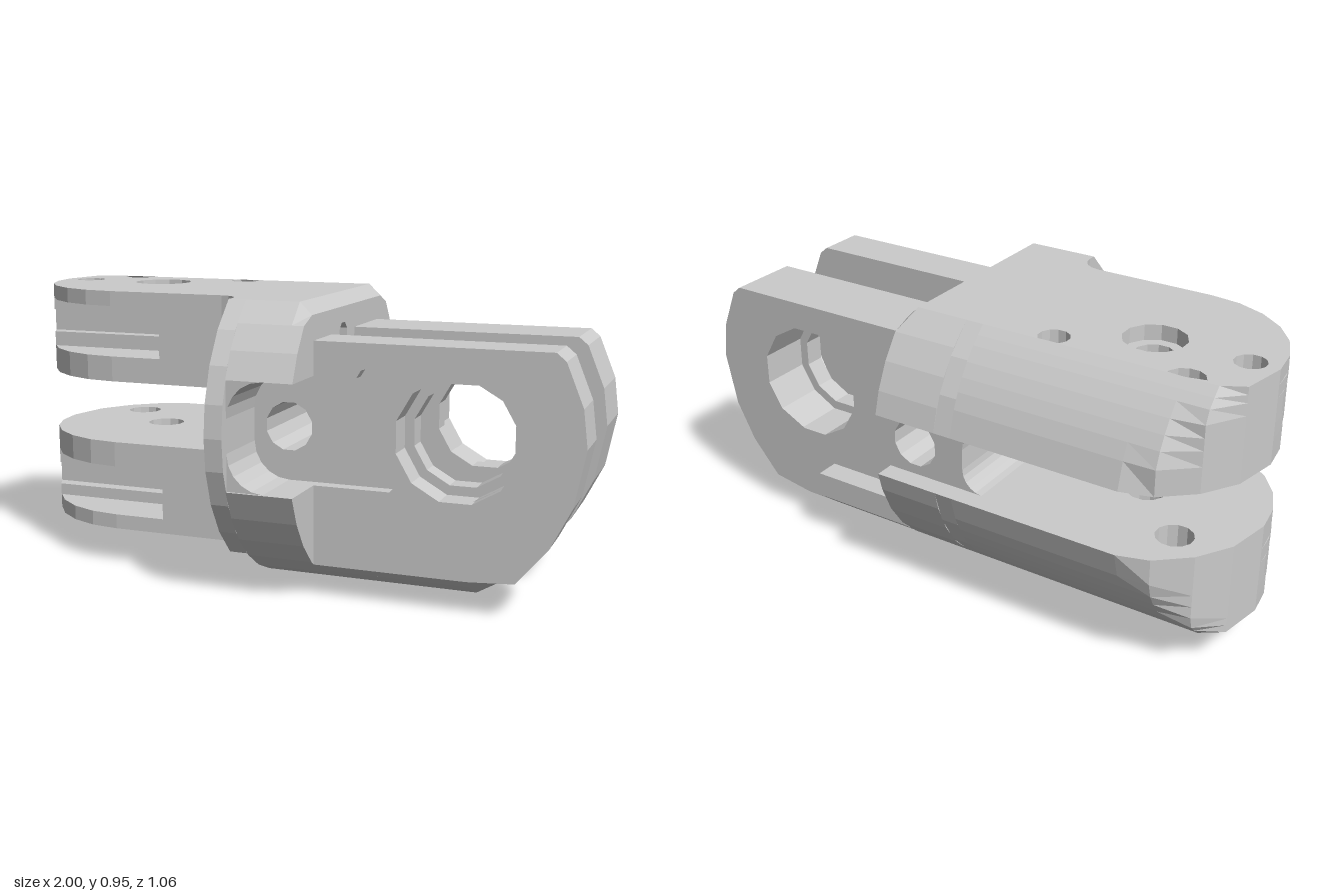
import * as THREE from 'three';

const R = 0.535, CY = 0.535; // round envelope running along x
const half = (d) => Math.sqrt(Math.max(0, R * R - d * d));
const mat = new THREE.MeshStandardMaterial({ color: 0xcccccc, flatShading: true });

function circle(x, y, r, n) {
  const pts = [];
  for (let i = 0; i < n; i++) {
    const t = ((i + 0.5) / n) * Math.PI * 2;
    pts.push(new THREE.Vector2(x + r * Math.cos(t), y + r * Math.sin(t)));
  }
  return new THREE.Path(pts);
}

// Extrudes an outline from a to b along an axis, then applies a vertex rule.
function solid(name, pts, holes, axis, a, b, steps = 1, rule = null) {
  const shape = new THREE.Shape(pts.map(([x, y]) => new THREE.Vector2(x, y)));
  shape.holes = holes.map(([x, y, r, n = 12]) => circle(x, y, r, n));
  const g = new THREE.ExtrudeGeometry(shape, { depth: b - a, steps, bevelEnabled: false });
  g.translate(0, 0, a);
  if (axis === 'y') g.rotateX(-Math.PI / 2); // outline is (x, -z)
  if (axis === 'x') g.rotateY(Math.PI / 2); // outline is (-z, y)
  if (rule) {
    const p = g.attributes.position, v = new THREE.Vector3();
    for (let i = 0; i < p.count; i++) {
      rule(v.fromBufferAttribute(p, i));
      p.setXYZ(i, v.x, v.y, v.z);
    }
  }
  g.computeVertexNormals();
  const m = new THREE.Mesh(g, mat);
  m.name = name;
  return m;
}

const clampZ = (v) => { const h = half(v.y - CY); v.z = Math.max(-h, Math.min(h, v.z)); };
const clampY = (v) => { v.y = Math.max(v.y, CY - half(v.z)); };

// Slice of the round body between two heights, limited at back and front.
function slab(x0, x1, y0, y1, zb, zf, holes = [], rule = null) {
  const t0 = Math.acos((CY - y0) / R), t1 = Math.acos((CY - y1) / R);
  const n = Math.max(1, Math.round((t1 - t0) / 0.2));
  const front = [], back = [];
  for (let i = 0; i <= n; i++) {
    const y = CY - R * Math.cos(t0 + ((t1 - t0) * i) / n), h = half(y - CY);
    front.push([-Math.min(zf, h), y]);
    back.unshift([-Math.max(zb, -h), y]);
  }
  return solid('body', [...front, ...back], holes, 'x', x0, x1, 1, rule);
}

// Concave corner filler; sx and sy point into the open space.
function fillet(x, y, r, sx, sy, z0, z1) {
  const pts = [[x, y]];
  for (let i = 0; i <= 5; i++) {
    const t = (i / 5) * Math.PI / 2;
    pts.push([x + sx * r * (1 - Math.sin(t)), y + sy * r * (1 - Math.cos(t))]);
  }
  return solid('cornerFillet', pts, [], 'z', z0, z1);
}

// Plan of a fork prong as (x, -z); a recessed front edge lies at zFloor.
function prongPlan(zFloor) {
  const pts = [[-0.13, 0.535], [-0.7, 0.535], [-0.8, 0.495], [-0.9, 0.41], [-0.97, 0.3]];
  const arc = (t) => [-0.61 - 0.39 * Math.cos(t), 0.15 - 0.39 * Math.sin(t)];
  if (zFloor === null) {
    for (let i = 0; i <= 6; i++) pts.push(arc((i / 6) * Math.PI / 2));
  } else {
    const end = Math.asin((zFloor + 0.15) / 0.39);
    for (let i = 0; i <= 3; i++) pts.push(arc((i / 3) * end));
    pts.push([-0.46, -zFloor], [-0.43, -zFloor - 0.04], [-0.43, -0.24]);
  }
  for (let i = 0; i <= 4; i++) {
    const t = (i / 4) * Math.PI / 2;
    pts.push([-0.2 + 0.07 * Math.sin(t), -0.31 + 0.07 * Math.cos(t)]);
  }
  return pts;
}

function prong(upper) {
  const g = new THREE.Group();
  g.name = upper ? 'upperProng' : 'lowerProng';
  const add = (name, pts, holes, y0, y1, steps = 1) => {
    const [a, b] = upper ? [y0, y1] : [1.08 - y1, 1.08 - y0];
    g.add(solid(name, pts, holes, 'y', a, b, steps, clampZ));
  };
  const bores = [[-0.61, 0.15, 0.065], [-0.8, 0.34, 0.06]];
  const outer = [[-0.61, 0.15, 0.1], bores[1]];
  if (upper) outer.push([-0.91, 0.15, 0.05], [-0.355, 0.3, 0.05]);
  add('prongInner', prongPlan(null), bores, 0.645, 0.73);
  add('prongRecess', prongPlan(0.06), bores, 0.73, 0.78);
  add('prongRecess', prongPlan(0.06), bores, 0.86, 0.9);
  add('prongOuter', prongPlan(null), outer, 0.9, 0.95, 2);
  // Layer split by the cable passage
  const back = prongPlan(0.01).filter(([x, z]) => z >= -0.0101 && x < -0.14);
  add('prongCore', [[-0.13, 0.535], ...back.slice(0, -1), [-0.13, -0.01]], bores, 0.78, 0.86, 2);
  add('prongFront', [[-0.13, -0.09], [-0.43, -0.09], [-0.43, -0.24], [-0.2, -0.24], [-0.15, -0.26],
    [-0.13, -0.31]], [], 0.78, 0.86);
  const y = upper ? 0.82 : 0.26;
  g.add(solid('cablePassage', [[-0.09, y - 0.04], [-0.01, y - 0.04], [-0.01, y + 0.04], [-0.09, y + 0.04]],
    [[-0.05, y, 0.039, 8]], 'x', -0.43, -0.13));
  // Rounded slot end
  g.add(fillet(-0.13, upper ? 0.645 : 0.435, 0.07, -1, upper ? -1 : 1, -0.46, 0.24));
  return g;
}

// Side outline of a hinge plate
const plateEnd = [[0.5, 0], [0.65, 0.03], [0.8, 0.12], [0.9, 0.24], [0.965, 0.37], [1, 0.55],
  [0.985, 0.67], [0.93, 0.805], [0.9, 0.83], [0.15, 0.83]];
const platePts = [[0.15, 0], ...plateEnd];
const notchedPts = [...platePts, [0.15, 0.72], [0.29, 0.72], [0.305, 0.745], [0.34, 0.757], [0.37, 0.745],
  [0.38, 0.72], [0.38, 0.45], [0.415, 0.43], [0.415, 0.385], [0.4, 0.37], [0.15, 0.37]];

export function createModel() {
  const root = new THREE.Group();
  root.name = 'hingeLink';
  root.add(prong(true), prong(false));

  // Central round body
  const body = new THREE.Group();
  body.name = 'centralBody';
  const top = [[-0.05, 0.82, 0.04, 8]], low = [[-0.05, 0.26, 0.04, 8]];
  const floor = 0.28, xm = -0.07;
  const chamfer = (v) => { v.y = Math.min(v.y, 0.95 - Math.max(0, v.x - 0.11)); };
  body.add(
    slab(-0.13, xm, 0.645, 0.95, -1, 1, top),
    slab(-0.13, xm, 0.13, 0.435, -1, 1, low),
    slab(-0.13, xm, 0.435, 0.645, floor, 1),
    slab(xm, 0.11, 0.72, 0.95, -1, 1, top),
    slab(0.11, 0.15, 0.72, 0.95, -1, 1, top, chamfer),
    slab(xm, 0.15, 0.645, 0.72, -1, floor),
    slab(xm, 0.15, 0.37, 0.435, -1, floor),
    slab(xm, 0.15, 0.004, 0.37, -1, 1, low),
    solid('crossBore', [[-0.13, 0.435], [0.15, 0.435], [0.15, 0.645], [-0.13, 0.645]],
      [[0.05, 0.545, 0.08]], 'z', -0.46, floor),
    fillet(xm, 0.72, 0.12, 1, -1, floor, 0.5),
    fillet(xm, 0.37, 0.12, 1, 1, floor, 0.5),
  );
  root.add(body);

  // Hinge plates with stepped bores
  const plate = (name, pts, r, z0, z1) =>
    root.add(solid(name, pts, [[0.61, 0.545, r]], 'z', z0, z1, 3, clampY));
  plate('frontPlateFace', notchedPts, 0.197, floor, 0.325);
  plate('frontPlateMiddle', platePts, 0.197, 0.23, floor);
  plate('frontPlateInner', platePts, 0.165, 0.16, 0.23);
  plate('backPlateOuter', platePts, 0.197, -0.305, -0.13);
  plate('backPlateInner', platePts, 0.165, -0.13, -0.06);

  // Stop bar behind the back plate
  root.add(solid('stopBar', [[0.15, 0], [0.525, 0], [0.525, 0.25], [0.15, 0.25]], [], 'z',
    -0.385, -0.305, 1, clampY));
  return root;
}
